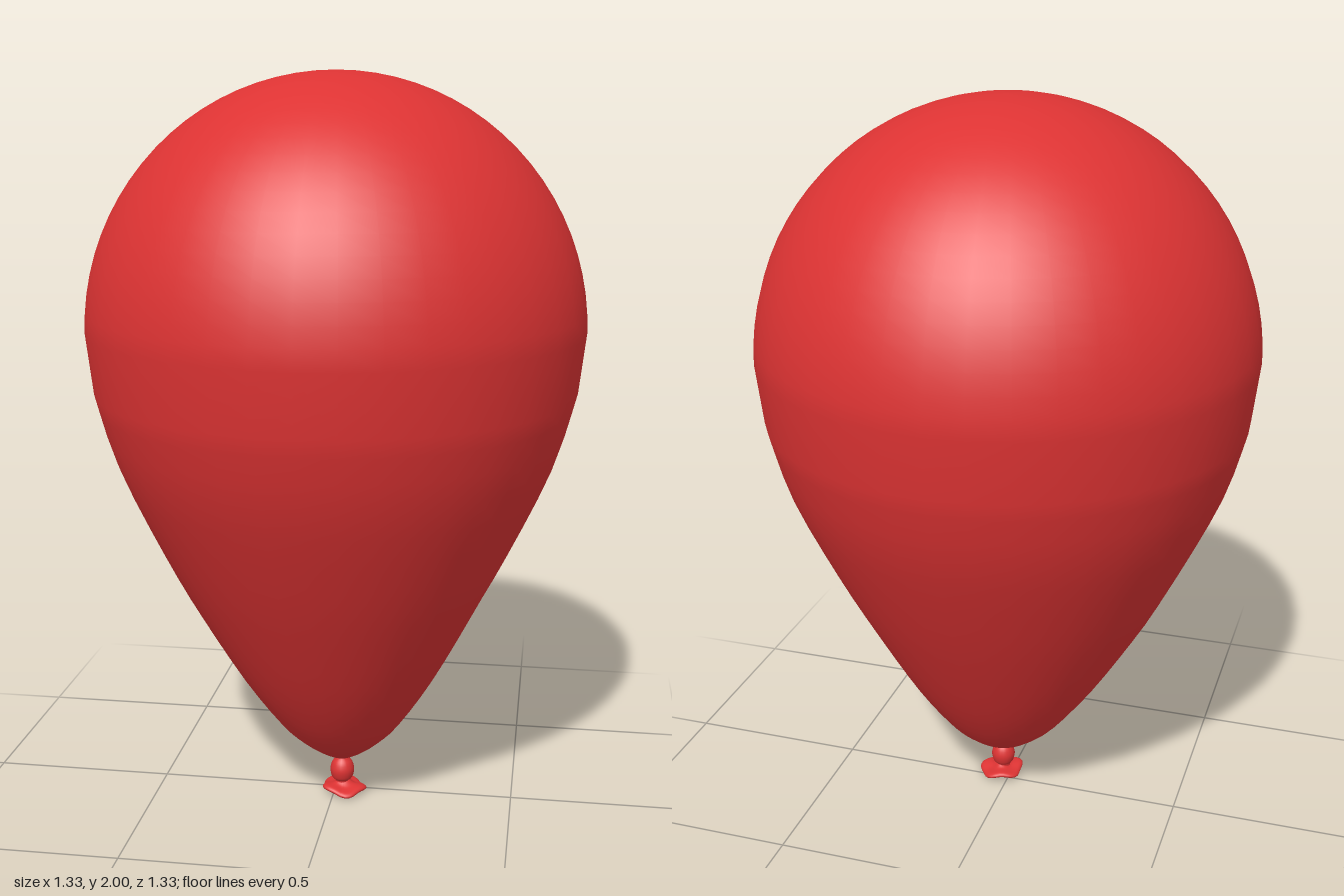
import * as THREE from 'three';

const red = new THREE.MeshStandardMaterial({ color: 0xdd3333, side: THREE.DoubleSide });
const points = (list) => list.map(([r, y]) => new THREE.Vector2(r, y));

function addPart(group, name, geometry) {
  const mesh = new THREE.Mesh(geometry, red);
  mesh.name = name;
  group.add(mesh);
}

// Move every vertex by a rule, then refresh the normals
function reshape(geometry, rule) {
  const p = geometry.attributes.position;
  const v = new THREE.Vector3();
  for (let i = 0; i < p.count; i++) {
    rule(v.fromBufferAttribute(p, i));
    p.setXYZ(i, v.x, v.y, v.z);
  }
  return geometry;
}

export function createModel() {
  const group = new THREE.Group();
  group.name = 'balloon';

  // Inflated body: tapered lower half, then a round dome
  const outline = points([
    [0.012, 0.1], [0.06, 0.125], [0.115, 0.165], [0.175, 0.225], [0.27, 0.36],
    [0.38, 0.55], [0.48, 0.74], [0.59, 0.98], [0.645, 1.17],
  ]);
  const profile = new THREE.SplineCurve(outline).getPoints(24);
  for (let i = 0; i <= 20; i++) {
    const a = (i / 20) * Math.PI / 2;
    profile.push(new THREE.Vector2(0.663 * Math.cos(a), 1.33 + 0.67 * Math.sin(a)));
  }
  const body = new THREE.LatheGeometry(profile, 40);
  // the narrow end leans slightly towards the knot
  reshape(body, (v) => {
    const lean = 0.02 * Math.max(0, 1 - (v.y - 0.1) / 0.5);
    v.x += lean;
    v.z += lean;
  });
  addPart(group, 'body', body);

  // Tied knot with a pinched neck above and below
  const knotProfile = new THREE.SplineCurve(points([
    [0.03, 0.125], [0.016, 0.108], [0.028, 0.09], [0.034, 0.068], [0.029, 0.045], [0.02, 0.036], [0.022, 0.02],
  ].reverse())).getPoints(24);
  const knot = new THREE.LatheGeometry(knotProfile, 20);
  knot.translate(0.022, 0, 0.025);
  addPart(group, 'knot', knot);

  // Flared mouth with a rolled, wavy rim
  const lipProfile = new THREE.SplineCurve(points([
    [0.002, 0.022], [0.03, 0.012], [0.052, 0.011], [0.061, 0.018], [0.053, 0.026], [0.03, 0.03], [0.014, 0.042],
  ])).getPoints(24);
  const lip = reshape(new THREE.LatheGeometry(lipProfile, 32), (v) => {
    const a = Math.atan2(v.z, v.x);
    const r = Math.hypot(v.x, v.z) / 0.06;
    const s = 1 + 0.06 * r * Math.cos(5 * a);
    v.x *= s;
    v.z *= s;
    v.y += 0.005 * r * Math.sin(3 * a + 0.6) - 0.004 * r * Math.cos(a);
  });
  lip.computeBoundingBox();
  lip.translate(0.027, -lip.boundingBox.min.y, 0.025);
  lip.computeVertexNormals();
  addPart(group, 'mouth', lip);

  return group;
}
